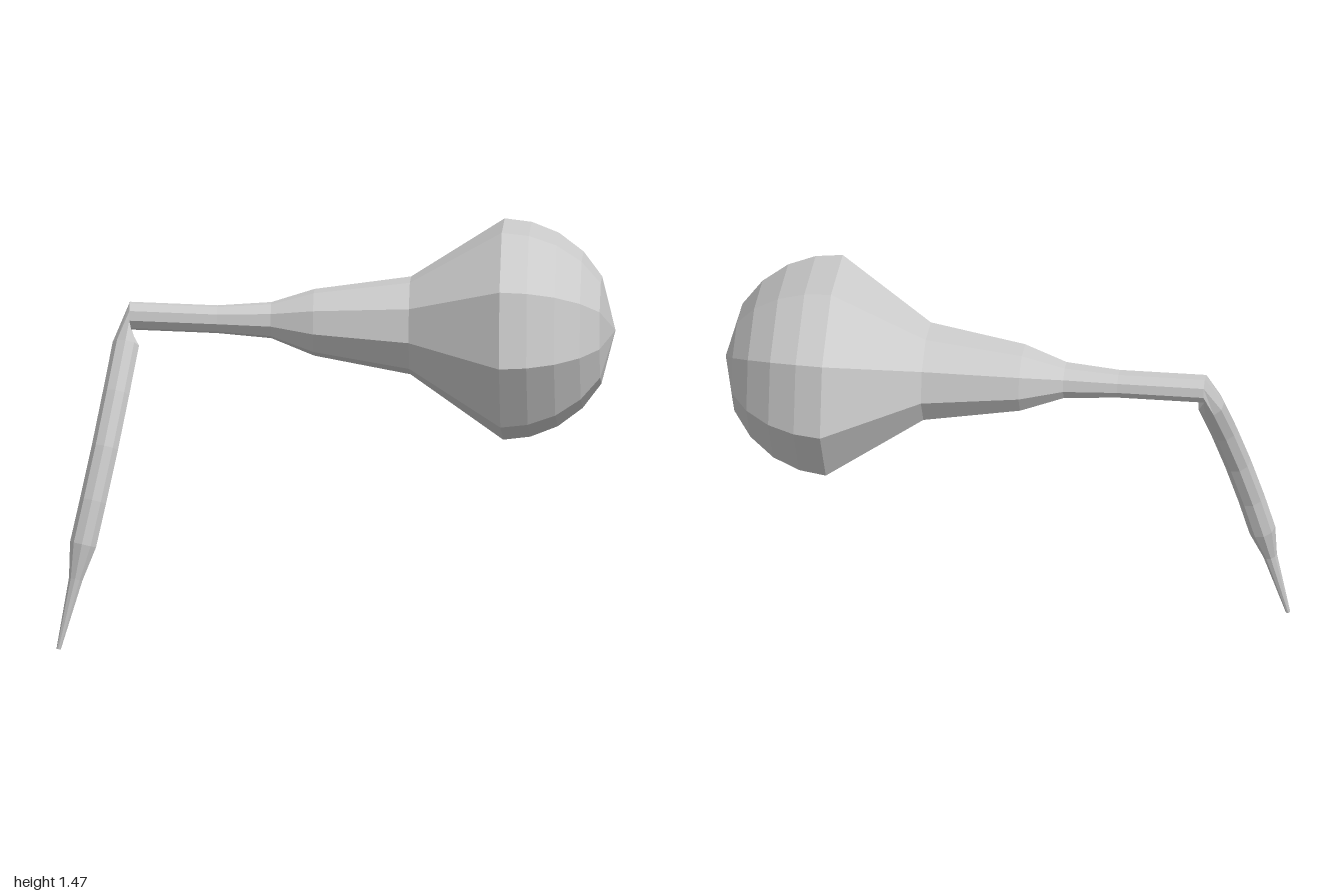
import * as THREE from 'three';

const SIDES = 9;
const V = (x, y, z) => new THREE.Vector3(x, y, z);

// Flat-shaded skin over rings of { c: centre, r: radius, u: up, w: side }
function loft(name, rings, material) {
  const point = (ring, j) => {
    const a = ((j % SIDES) + 0.5) * 2 * Math.PI / SIDES;
    return ring.c.clone()
      .addScaledVector(ring.u, ring.r * Math.cos(a))
      .addScaledVector(ring.w, ring.r * Math.sin(a));
  };
  const pos = [];
  const tri = (...ps) => ps.forEach(p => pos.push(p.x, p.y, p.z));
  for (let i = 0; i < rings.length - 1; i++) {
    const lo = rings[i], hi = rings[i + 1];
    for (let j = 0; j < SIDES; j++) {
      const a = point(lo, j), b = point(lo, j + 1), c = point(hi, j + 1), d = point(hi, j);
      if (lo.r > 0) tri(a, b, c);
      if (hi.r > 0) tri(a, c, d);
    }
  }
  const geometry = new THREE.BufferGeometry();
  geometry.setAttribute('position', new THREE.Float32BufferAttribute(pos, 3));
  geometry.computeVertexNormals();
  const mesh = new THREE.Mesh(geometry, material);
  mesh.name = name;
  return mesh;
}

export function createModel() {
  const group = new THREE.Group();
  group.name = 'bulbWithStalk';
  const material = new THREE.MeshStandardMaterial({ color: 0xcccccc, flatShading: true });

  // Axis from the bulb towards the joint
  const axis = V(-0.99, 0, -0.13).normalize();
  const up = V(0, 1, 0);
  const side = axis.clone().cross(up);
  const straight = (c, r) => ({ c, r, u: up, w: side });

  // Domed end of the bulb, from pole to rim
  const rim = V(0.603, 1.098, 0), R = 0.398;
  const dome = [90, 61, 45, 29, 14, 0].map(deg => {
    const e = deg * Math.PI / 180;
    return straight(rim.clone().addScaledVector(axis, -R * Math.sin(e)), deg === 90 ? 0 : R * Math.cos(e));
  });
  group.add(loft('bulbDome', dome, material));

  // Neck narrowing from the rim to the joint
  const neck = [
    [0.603, 1.098, 0, R], [0.278, 1.108, -0.05, 0.176], [-0.06, 1.116, -0.098, 0.12],
    [-0.21, 1.122, -0.122, 0.065], [-0.4, 1.124, -0.146, 0.05], [-0.707, 1.134, -0.189, 0.05],
  ].map(([x, y, z, r]) => straight(V(x, y, z), r));
  group.add(loft('neck', neck, material));

  // Curved leg: its frame turns down from the joint and follows the path
  const path = [
    [-0.707, 1.134, -0.189, 0.05], [-0.725, 1.04, -0.14, 0.048], [-0.768, 0.88, -0.052, 0.048],
    [-0.815, 0.7, 0.028, 0.048], [-0.862, 0.52, 0.083, 0.048], [-0.9, 0.37, 0.113, 0.048],
    [-0.928, 0.25, 0.13, 0.025], [-0.991, 0.002, 0.15, 0.008],
  ];
  const centres = path.map(([x, y, z]) => V(x, y, z));
  let tangent = axis, u = up;
  const leg = path.map((p, i) => {
    if (i > 0) {
      const next = centres[Math.min(i + 1, path.length - 1)].clone().sub(centres[i - 1]).normalize();
      u = u.clone().applyQuaternion(new THREE.Quaternion().setFromUnitVectors(tangent, next));
      tangent = next;
    }
    return { c: centres[i], r: p[3], u, w: tangent.clone().cross(u) };
  });
  leg.push({ ...leg[leg.length - 1], r: 0 }); // closed tip
  group.add(loft('leg', leg, material));

  return group;
}
